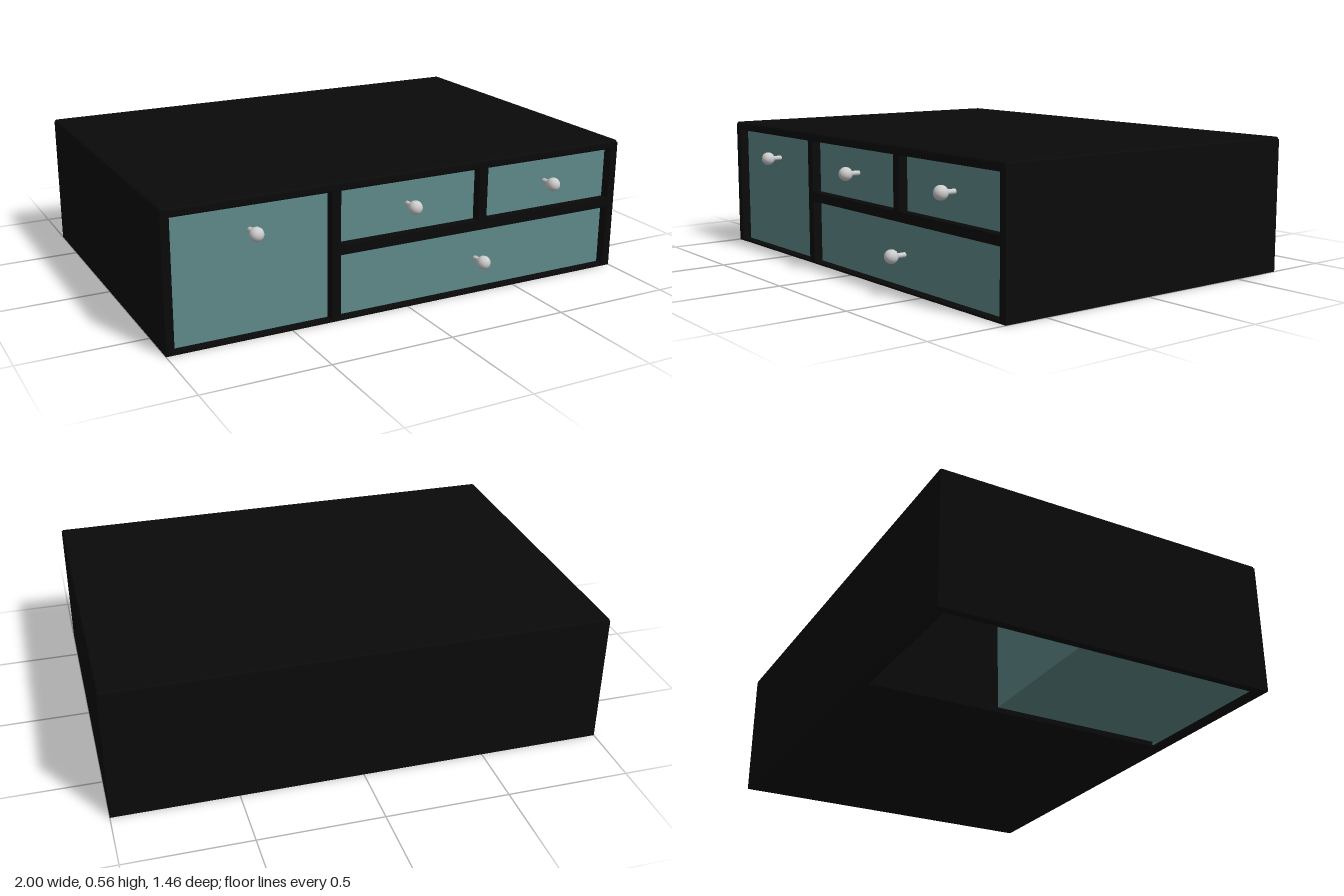
import * as THREE from 'three';
import { RoundedBoxGeometry } from 'three/addons/geometries/RoundedBoxGeometry.js';

const black = new THREE.MeshStandardMaterial({ color: 0x0a0a0a });
const teal = new THREE.MeshStandardMaterial({ color: 0x5f8a8a });
const grey = new THREE.MeshStandardMaterial({ color: 0xcccccc });

const BACK = -0.73, FRONT = 0.68, FACE = 0.64, TOP = 0.555;

// Box given by its lower and upper limits on each axis
function slab(name, [x0, x1], [y0, y1], [z0, z1], material, radius = 0) {
  const size = [x1 - x0, y1 - y0, z1 - z0];
  const geometry = radius
    ? new RoundedBoxGeometry(...size, 3, radius)
    : new THREE.BoxGeometry(...size);
  const mesh = new THREE.Mesh(geometry, material);
  mesh.name = name;
  mesh.position.set((x0 + x1) / 2, (y0 + y1) / 2, (z0 + z1) / 2);
  return mesh;
}

// Round knob on a thin stem
function knob(x, y) {
  const group = new THREE.Group();
  group.name = 'knob';
  const ball = new THREE.Mesh(new THREE.SphereGeometry(0.028, 32, 20), grey);
  ball.name = 'knobBall';
  ball.position.z = 0.702;
  const stem = new THREE.Mesh(new THREE.CylinderGeometry(0.01, 0.01, 0.07, 20), grey);
  stem.name = 'knobStem';
  stem.rotation.x = Math.PI / 2;
  stem.position.z = 0.665;
  group.add(ball, stem);
  group.position.set(x, y, 0);
  return group;
}

// Drawer: front panel, open tray behind it and a knob
function drawer(name, [x0, x1], [y0, y1], [kx, ky]) {
  const group = new THREE.Group();
  group.name = name;
  const t = 0.015, inset = 0.03, zBack = -0.15, zFront = 0.62;
  const a = x0 + 0.005, b = x1 - inset, h = y1 - inset;
  group.add(
    slab('drawerFront', [x0, x1], [y0, y1], [zFront, FACE], teal),
    slab('drawerBottom', [a, b], [y0, y0 + t], [zBack, zFront], teal),
    slab('drawerSide', [a, a + t], [y0 + t, h], [zBack, zFront], teal),
    slab('drawerSide', [b - t, b], [y0 + t, h], [zBack, zFront], teal),
    slab('drawerBack', [a + t, b - t], [y0 + t, h], [zBack, zBack + t], teal),
    knob(kx, ky),
  );
  return group;
}

export function createModel() {
  const model = new THREE.Group();
  model.name = 'drawerCabinet';

  // Outer case
  model.add(slab('topPanel', [-1, 1], [0.518, TOP], [BACK, FRONT], black, 0.01));
  for (const s of [-1, 1]) {
    const limits = s < 0 ? [-1, -0.967] : [0.967, 1];
    model.add(slab('sidePanel', limits, [0, 0.545], [BACK + 0.001, FRONT - 0.001], black));
  }
  model.add(slab('backPanel', [-0.967, 0.967], [0, 0.54], [BACK + 0.001, -0.69], black));

  // Floor, open behind and below the left drawer
  model.add(
    slab('floorPanel', [-0.297, 0.967], [0.001, 0.008], [-0.69, FACE], black),
    slab('frontRail', [-0.967, 0.967], [0, 0.008], [0.625, FRONT - 0.001], black),
  );

  // Dividers
  model.add(
    slab('mainDivider', [-0.334, -0.297], [0, 0.53], [-0.69, FRONT - 0.002], black),
    slab('shelf', [-0.297, 0.967], [0.266, 0.305], [-0.69, FRONT - 0.002], black),
    slab('upperDivider', [0.317, 0.356], [0.305, 0.53], [-0.69, FRONT - 0.002], black),
  );

  // Drawers
  model.add(
    drawer('leftDrawer', [-0.967, -0.334], [0.006, 0.518], [-0.65, 0.415]),
    drawer('upperMiddleDrawer', [-0.297, 0.317], [0.305, 0.518], [0.01, 0.415]),
    drawer('upperEndDrawer', [0.356, 0.967], [0.305, 0.518], [0.66, 0.415]),
    drawer('wideDrawer', [-0.297, 0.967], [0.008, 0.266], [0.335, 0.133]),
  );
  return model;
}
